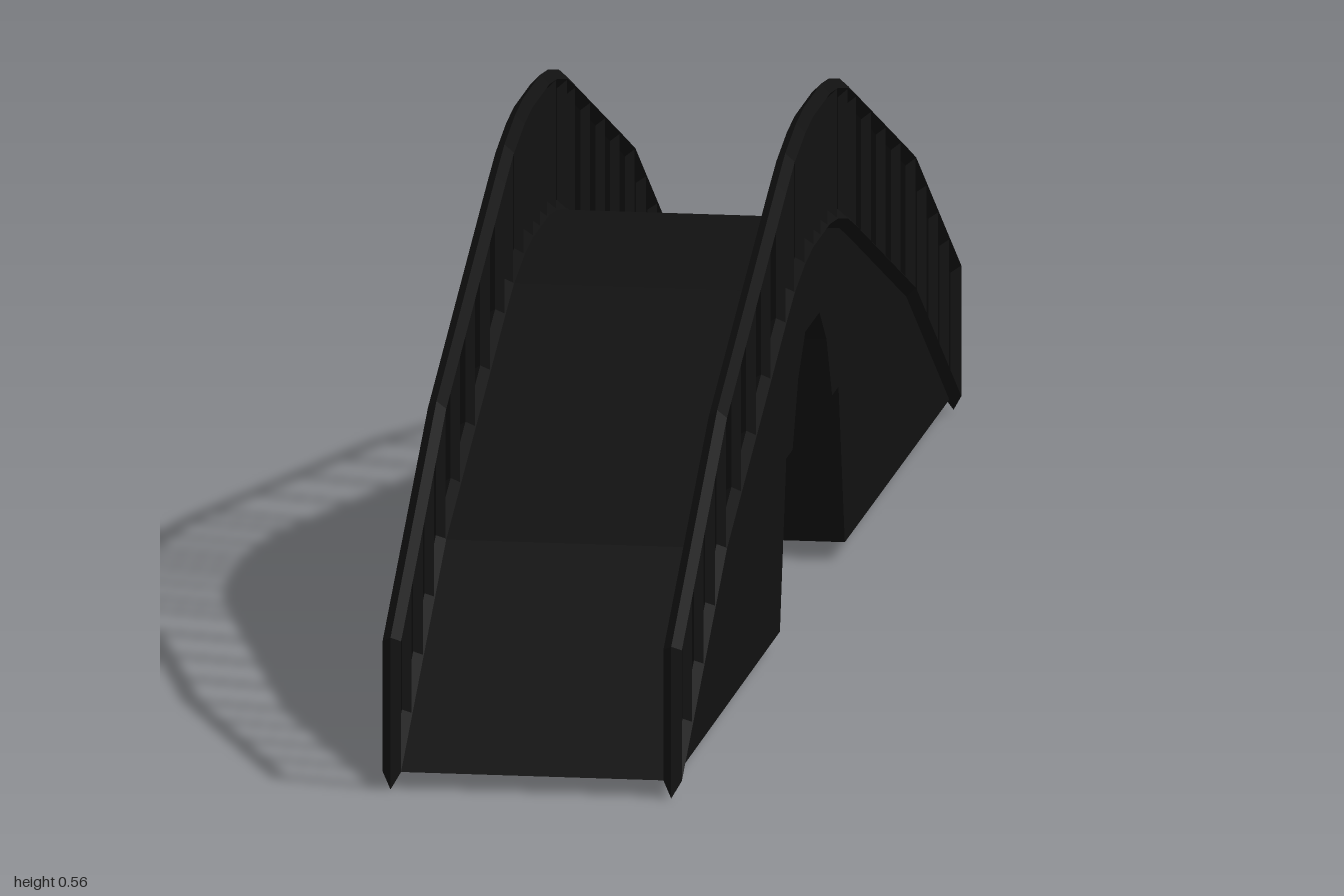
import * as THREE from 'three';

const RAIL_X = 0.152, RAIL_R = 0.01, RAIL_H = 0.143;

// One half of the deck line as [z, y], from the foot to the crown
const half = [[0.99, 0.0185], [0.67, 0.205], [0.25, 0.362], [0.19, 0.383], [0.115, 0.399], [0.06, 0.405]];
const mirror = (pts) => [...pts, ...pts.slice().reverse().map(([z, y]) => [-z, y])];
const deck = mirror(half);

function deckY(z) {
  const a = Math.abs(z);
  for (let i = 0; i < half.length - 1; i++) {
    const [z0, y0] = half[i], [z1, y1] = half[i + 1];
    if (a <= z0 && a >= z1) return y0 + (y1 - y0) * (z0 - a) / (z0 - z1);
  }
  return half[half.length - 1][1];
}

// Closed loop with a diamond section and mitred corners
function mitredLoop(path, r) {
  const n = path.length;
  const P = path.map(([z, y]) => new THREE.Vector2(z, y));
  const rings = P.map((p, i) => {
    const d0 = p.clone().sub(P[(i + n - 1) % n]).normalize();
    const d1 = P[(i + 1) % n].clone().sub(p).normalize();
    const n0 = new THREE.Vector2(-d0.y, d0.x), n1 = new THREE.Vector2(-d1.y, d1.x);
    const m = n0.clone().add(n1).normalize();
    m.multiplyScalar(r / m.dot(n1));
    return [[0, p.y + m.y, p.x + m.x], [r, p.y, p.x], [0, p.y - m.y, p.x - m.x], [-r, p.y, p.x]];
  });
  const pos = [];
  for (let i = 0; i < n; i++) {
    const A = rings[i], B = rings[(i + 1) % n];
    for (let k = 0; k < 4; k++) {
      const l = (k + 1) % 4;
      pos.push(...A[k], ...B[l], ...B[k], ...A[k], ...A[l], ...B[l]);
    }
  }
  const g = new THREE.BufferGeometry();
  g.setAttribute('position', new THREE.Float32BufferAttribute(pos, 3));
  g.computeVertexNormals();
  return g;
}

export function createModel() {
  const model = new THREE.Group();
  const material = new THREE.MeshStandardMaterial({ color: 0x111111, flatShading: true, side: THREE.DoubleSide });

  // Solid span with the arched opening underneath
  const arch = mirror([[0.23, 0.02], [0.185, 0.2], [0.14, 0.2], [0.1, 0.27], [0.05, 0.31]]).reverse();
  const outline = [...deck, ...arch].map(([z, y]) => new THREE.Vector2(-z, y));
  const bodyGeo = new THREE.ExtrudeGeometry(new THREE.Shape(outline), { depth: 2 * RAIL_X, bevelEnabled: false });
  bodyGeo.translate(0, 0, -RAIL_X).rotateY(Math.PI / 2);
  const body = new THREE.Mesh(bodyGeo, material);
  body.name = 'archedSpan';
  model.add(body);

  // Railings: a continuous frame plus upright balusters
  const frame = [...deck, ...deck.slice().reverse().map(([z, y]) => [z, y + RAIL_H])];
  const frameGeo = mitredLoop(frame, RAIL_R);
  const postGeo = new THREE.CylinderGeometry(0.009, 0.009, RAIL_H, 4, 1, true);
  const postZ = [0.91, 0.83, 0.75, 0.67, 0.565, 0.46, 0.355, 0.25, 0.19, 0.115, 0.05];
  const allZ = [...postZ, 0, ...postZ.map((z) => -z)];
  for (const [side, x] of [['left', RAIL_X], ['right', -RAIL_X]]) {
    const railing = new THREE.Group();
    railing.name = side + 'Railing';
    railing.position.x = x;
    const rail = new THREE.Mesh(frameGeo, material);
    rail.name = side + 'RailFrame';
    railing.add(rail);
    for (const z of allZ) {
      const post = new THREE.Mesh(postGeo, material);
      post.name = side + 'Baluster';
      post.position.set(0, deckY(z) + RAIL_H / 2, z);
      railing.add(post);
    }
    model.add(railing);
  }
  return model;
}
